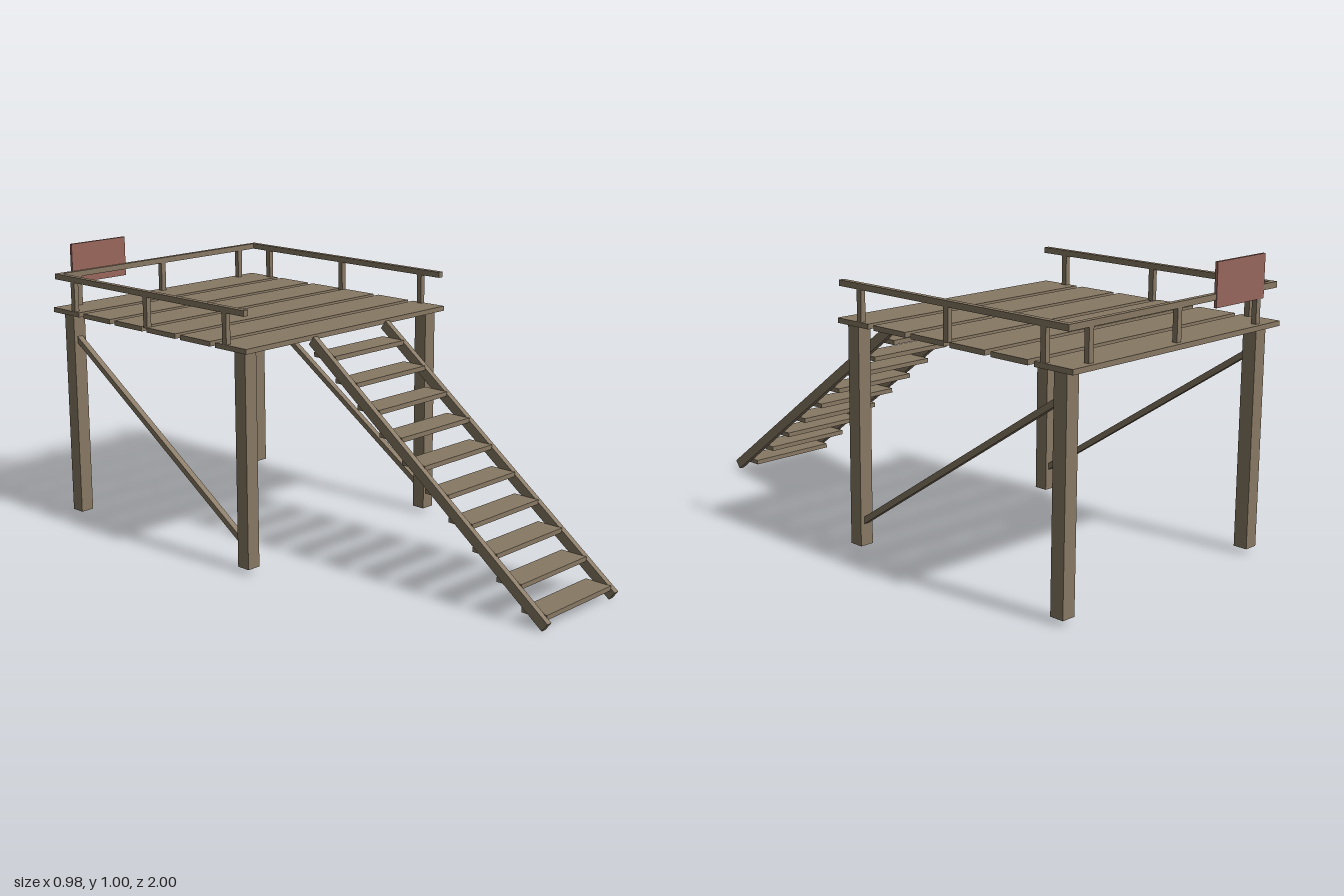
import * as THREE from 'three';

export function createModel() {
  const model = new THREE.Group();
  model.name = 'raisedPlatform';
  const wood = new THREE.MeshStandardMaterial({ color: 0x877863 });
  wood.name = 'weathered wood';
  const red = new THREE.MeshStandardMaterial({ color: 0x97665b });
  red.name = 'faded red';

  function box(name, size, pos, material = wood) {
    const mesh = new THREE.Mesh(new THREE.BoxGeometry(...size), material);
    mesh.name = name;
    mesh.position.set(...pos);
    model.add(mesh);
    return mesh;
  }

  // Sloping beam at constant x between two [z, y] points
  function beam(name, x, [z0, y0], [z1, y1], width, height) {
    const length = Math.hypot(z1 - z0, y1 - y0);
    const mesh = box(name, [width, height, length], [x, (y0 + y1) / 2, (z0 + z1) / 2]);
    mesh.rotation.x = -Math.atan2(y1 - y0, z1 - z0);
  }

  // Deck planks
  for (let i = 0; i < 6; i++) {
    box('deckPlank', [0.98, 0.017, 0.147], [0, 0.769, -0.064 - 0.1724 * i]);
  }

  for (const side of [-1, 1]) {
    // Legs and diagonal braces
    for (const z of [-0.043, -0.936]) {
      box('leg', [0.05, 0.737, 0.05], [side * 0.445, 0.387, z]);
    }
    beam('brace', side * 0.445, [-0.06, 0.1], [-0.925, 0.675], 0.022, 0.02);

    // Side railing
    box('sideRail', [0.02, 0.02, 0.983], [side * 0.48, 0.892, -0.4915]);
    for (const z of [-0.094, -0.489, -0.885]) {
      box('sideRailPost', [0.018, 0.112, 0.02], [side * 0.48, 0.83, z]);
    }

    // Stair stringers
    beam('stringer', side * 0.179, [0.989, 0.014], [0.003, 0.757], 0.02, 0.035);
  }

  // Back railing
  box('backRail', [0.98, 0.02, 0.018], [0, 0.892, -0.974]);
  for (const x of [-0.395, 0, 0.395]) {
    box('backRailPost', [0.02, 0.112, 0.018], [x, 0.83, -0.974]);
  }

  // Blank sign board on the back rail
  box('signBoard', [0.243, 0.143, 0.01], [-0.296, 0.929, -0.98], red);

  // Stair treads
  for (let i = 0; i < 10; i++) {
    box('tread', [0.342, 0.016, 0.097], [0, 0.04 + 0.0741 * i, 0.935 - 0.0985 * i]);
  }

  return model;
}
